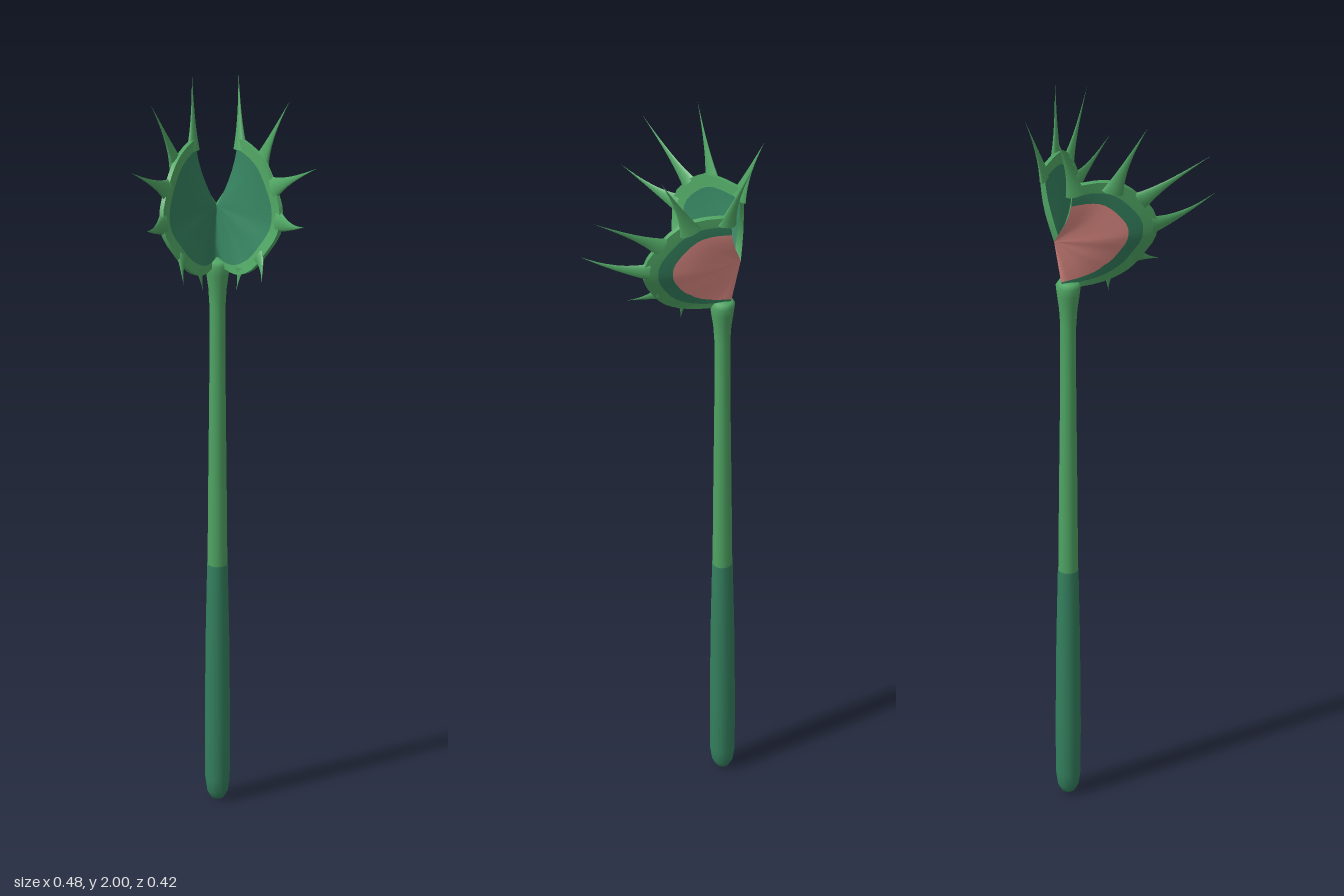
import * as THREE from 'three';

const V = (x, y, z) => new THREE.Vector3(x, y, z);
const mat = (name, color, side = THREE.FrontSide) => {
  const m = new THREE.MeshStandardMaterial({ color, side });
  m.name = name;
  return m;
};

// Grid surface: point(i, j) for i in 0..nu, j in 0..nv; group(j) gives the material index of a row
function surface(nu, nv, point, flip = false, group = null) {
  const pos = [], index = [], g = new THREE.BufferGeometry();
  for (let j = 0; j <= nv; j++) for (let i = 0; i <= nu; i++) pos.push(...point(i, j).toArray());
  const id = (i, j) => j * (nu + 1) + i;
  for (let j = 0; j < nv; j++) {
    const start = index.length;
    for (let i = 0; i < nu; i++) {
      const a = id(i, j), b = id(i + 1, j), c = id(i + 1, j + 1), d = id(i, j + 1);
      if (flip) index.push(a, c, b, a, d, c);
      else index.push(a, b, c, a, c, d);
    }
    if (group) g.addGroup(start, index.length - start, group(j));
  }
  g.setAttribute('position', new THREE.Float32BufferAttribute(pos, 3));
  g.setIndex(index);
  g.computeVertexNormals();
  return g;
}

export function createModel() {
  const root = new THREE.Group();
  const green = mat('leafGreen', 0x4fa463, THREE.DoubleSide);
  const dark = mat('deepGreen', 0x34805e);
  const pink = mat('softPink', 0xe08c85);
  const add = (name, geo, m) => {
    const mesh = new THREE.Mesh(geo, m);
    mesh.name = name;
    root.add(mesh);
    return mesh;
  };

  // Handle and stem, turned about one axis behind the centre
  const lathe = (pts) => new THREE.LatheGeometry(pts.map(p => new THREE.Vector2(...p)), 14);
  add('handle', lathe([[0, 0], [0.017, 0.006], [0.027, 0.025], [0.032, 0.06], [0.033, 0.2],
    [0.031, 0.45], [0.027, 0.658], [0.024, 0.66]]), dark).position.z = -0.115;
  add('stem', lathe([[0.026, 0.655], [0.024, 0.9], [0.021, 1.2], [0.021, 1.38], [0.024, 1.43],
    [0.03, 1.475], [0.033, 1.5], [0.026, 1.512], [0, 1.514]]), green).position.z = -0.115;

  // Leaf trap: rays run from the hinge notch to the edge of both lobes
  const notch = V(0, 1.648, -0.155);
  const edge = new THREE.CatmullRomCurve3([
    V(0, 1.5, -0.13), V(0.025, 1.497, -0.075), V(0.055, 1.51, -0.015), V(0.085, 1.54, 0.022),
    V(0.115, 1.59, 0.045), V(0.148, 1.65, 0.055), V(0.155, 1.71, 0.05), V(0.14, 1.77, 0.015),
    V(0.115, 1.82, -0.035), V(0.09, 1.835, -0.085), V(0.06, 1.835, -0.152),
  ]);
  const N = 24, rings = 7;
  const lobeNormal = V(0.82, -0.15, -0.55);
  const normalAt = (x) => V(0, 0, -1).lerp(lobeNormal, THREE.MathUtils.smoothstep(x, 0, 0.06)).normalize();
  // Ring positions widen toward the hinge foot, where the pink reaches almost to the edge
  const ringAt = (u, j) => {
    const k = Math.max(0, 1 - u * 4);
    const tp = 0.68 + 0.2 * k, td = 0.84 + 0.08 * k;
    return j <= 4 ? tp * j / 4 : j === 5 ? td : j === 6 ? (td + 1) / 2 : 1;
  };
  const shell = (side) => (i, j) => {
    const s = i < N ? -1 : 1, u = Math.abs(i - N) / N, t = ringAt(u, j);
    const p = notch.clone().lerp(edge.getPoint(u), t);
    p.x += 0.014 * Math.sin(Math.PI * t) * Math.min(1, u * 4);
    p.addScaledVector(normalAt(p.x), side * (0.009 - 0.003 * t));
    p.x = Math.max(0, p.x) * s;
    return p;
  };
  const outer = shell(1), inner = shell(-1);
  add('trapOutside', surface(2 * N, rings, outer, false, j => j < 4 ? 0 : j < 5 ? 1 : 2), [pink, dark, green]);
  add('trapInside', surface(2 * N, rings, inner, true, j => j < 5 ? 0 : 1), [dark, green]);

  // Narrow rim that closes the shell along the outline and both back edges
  const outline = [];
  for (let j = 0; j < rings; j++) outline.push([0, j]);
  for (let i = 0; i <= 2 * N; i++) outline.push([i, rings]);
  for (let j = rings - 1; j >= 0; j--) outline.push([2 * N, j]);
  add('trapRim', surface(outline.length - 1, 1,
    (i, j) => (j ? inner : outer)(...outline[i])), green);

  // Teeth: base, bend, tip and half width, mirrored to both lobes
  const teeth = [
    [V(0.061, 1.805, -0.143), V(0.06, 1.89, -0.165), V(0.06, 2, -0.212), 0.027],
    [V(0.11, 1.8, -0.06), V(0.13, 1.88, -0.04), V(0.18, 2, 0), 0.03],
    [V(0.138, 1.762, 0.01), V(0.17, 1.8, 0.06), V(0.24, 1.88, 0.165), 0.03],
    [V(0.148, 1.682, 0.04), V(0.178, 1.69, 0.12), V(0.203, 1.737, 0.212), 0.03],
    [V(0.1, 1.578, 0.025), V(0.105, 1.56, 0.06), V(0.1, 1.538, 0.113), 0.025],
    [V(0.053, 1.525, -0.025), V(0.048, 1.5, -0.02), V(0.043, 1.465, -0.015), 0.018],
  ];
  for (const s of [1, -1]) {
    teeth.forEach(([base, bend, tip, r0]) => {
      const curve = new THREE.QuadraticBezierCurve3(base, bend, tip);
      const point = (i, j) => {
        const t = j / 8, a = i / 8 * Math.PI * 2;
        const d = curve.getTangent(t);
        const across = d.clone().cross(lobeNormal).normalize();
        const up = across.clone().cross(d).normalize();
        const r = r0 * (0.65 * (1 - t) ** 2.4 + 0.35 * (1 - t));
        const p = curve.getPoint(t).addScaledVector(across, Math.cos(a) * r)
          .addScaledVector(up, Math.sin(a) * r * 0.42);
        p.x *= s;
        return p;
      };
      add(s > 0 ? 'leftTooth' : 'rightTooth', surface(8, 8, point, s > 0), green);
    });
  }
  return root;
}
